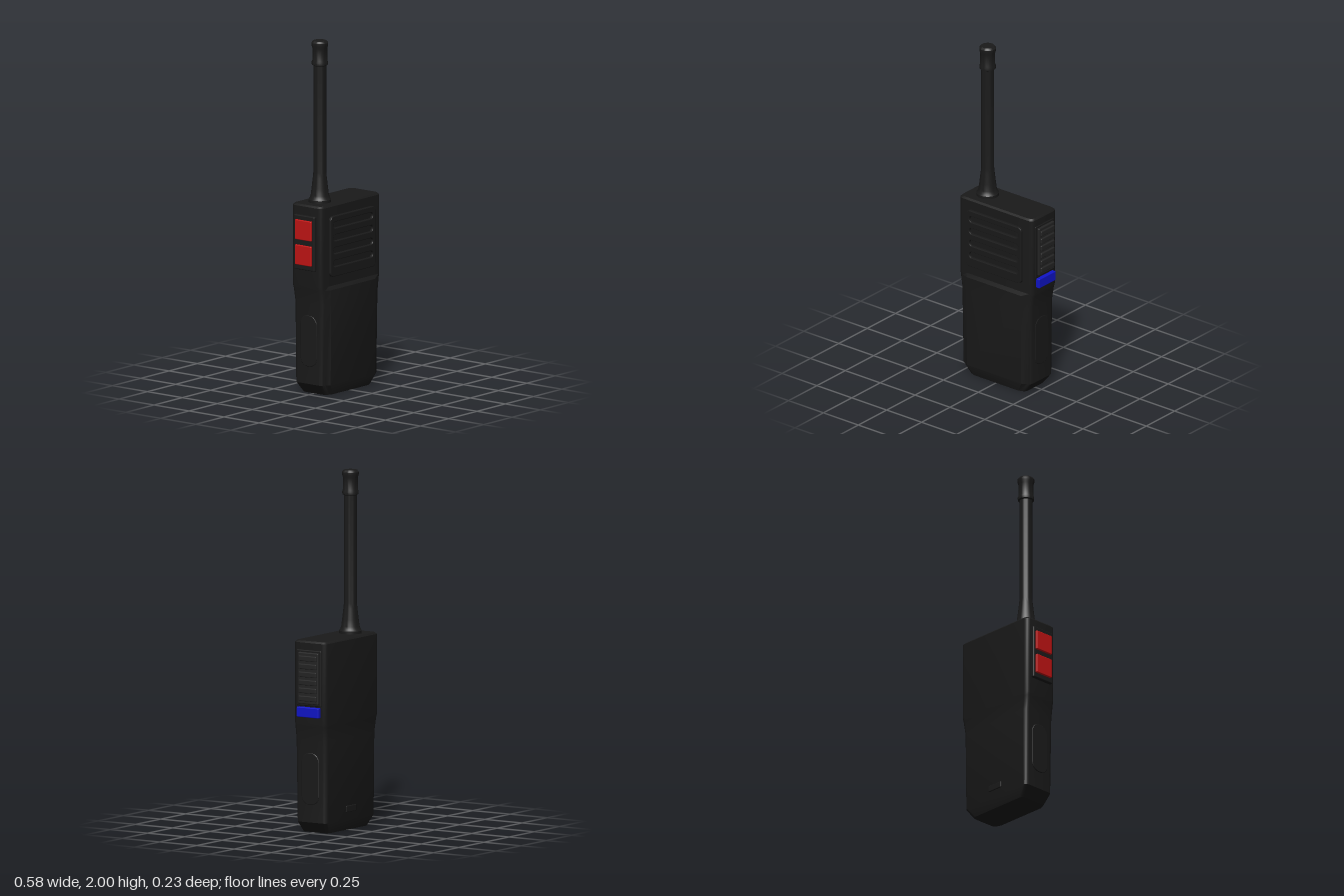
import * as THREE from 'three';
import { toCreasedNormals } from 'three/addons/utils/BufferGeometryUtils.js';
import { RoundedBoxGeometry } from 'three/addons/geometries/RoundedBoxGeometry.js';

const material = (color) => new THREE.MeshStandardMaterial({ color });
const black = material(0x1a1a1a);
const grip = material(0x242424);
const red = material(0xc01414);
const blue = material(0x1014c8);

function add(group, name, geometry, mat, x = 0, y = 0, z = 0) {
  const mesh = new THREE.Mesh(geometry, mat);
  mesh.name = name;
  mesh.position.set(x, y, z);
  group.add(mesh);
  return mesh;
}

// Cross-section with a bevelled front and rounded side corners
function outline([y, hw, fx, zf, zs, zb]) {
  const r = 0.025, half = [[fx, zf]];
  for (let i = 0; i <= 4; i++) {
    const a = (i / 4) * Math.PI / 2;
    half.push([hw - r + r * Math.sin(a), zs - r + r * Math.cos(a)]);
  }
  for (let i = 0; i <= 4; i++) {
    const a = (i / 4) * Math.PI / 2;
    half.push([hw - r + r * Math.cos(a), zb + r - r * Math.sin(a)]);
  }
  const mirrored = half.map(([x, z]) => [-x, z]).reverse();
  return [...half, ...mirrored].map(([x, z]) => [x, y, z]);
}

function loft(sections) {
  const rings = sections.map(outline);
  const n = rings[0].length, index = [];
  for (let k = 0; k < rings.length - 1; k++) {
    for (let i = 0; i < n; i++) {
      const j = (i + 1) % n, a = k * n, b = a + n;
      index.push(a + i, a + j, b + j, a + i, b + j, b + i);
    }
  }
  const top = (rings.length - 1) * n;
  for (let i = 1; i < n - 1; i++) {
    index.push(0, i + 1, i, top, top + i, top + i + 1);
  }
  const g = new THREE.BufferGeometry();
  g.setAttribute('position', new THREE.Float32BufferAttribute(rings.flat(2), 3));
  g.setIndex(index);
  return toCreasedNormals(g, 0.5);
}

// Rounded rectangle, drawn into a Shape or a Path
function roundRect(path, w, h, r, cy = 0) {
  const x = w / 2 - r, y = h / 2 - r;
  path.absarc(x, cy + y, r, 0, Math.PI / 2);
  path.absarc(-x, cy + y, r, Math.PI / 2, Math.PI);
  path.absarc(-x, cy - y, r, Math.PI, Math.PI * 1.5);
  path.absarc(x, cy - y, r, Math.PI * 1.5, Math.PI * 2);
  path.closePath();
  return path;
}

export function createModel() {
  const model = new THREE.Group();
  model.name = 'handheldRadio';

  // Body: narrow battery section below, wider head above
  add(model, 'body', loft([
    [0, 0.2, 0.16, 0.093, 0.085, -0.09],
    [0.06, 0.245, 0.195, 0.112, 0.095, -0.107],
    [0.52, 0.249, 0.195, 0.113, 0.1, -0.109],
    [0.6, 0.26, 0.195, 0.113, 0.1, -0.113],
    [0.62, 0.264, 0.2, 0.101, 0.1, -0.116],
    [1.07, 0.264, 0.2, 0.101, 0.1, -0.116],
    [1.08, 0.255, 0.2, 0.092, 0.091, -0.107],
  ]), black);

  // Speaker panel with four slots
  const panel = roundRect(new THREE.Shape(), 0.394, 0.344, 0.025);
  for (let i = 0; i < 4; i++) {
    panel.holes.push(roundRect(new THREE.Path(), 0.35, 0.036, 0.017, 0.121 - i * 0.073));
  }
  const panelGeometry = new THREE.ExtrudeGeometry(panel, {
    depth: 0.016, bevelThickness: 0.004, bevelSize: 0.004, bevelOffset: -0.004, bevelSegments: 2, curveSegments: 6,
  });
  add(model, 'speakerGrille', panelGeometry, black, 0, 0.845, 0.096);

  // Antenna with flared base and ringed cap
  const profile = [
    [0, 1.07], [0.063, 1.07], [0.063, 1.095], [0.056, 1.105], [0.051, 1.12], [0.046, 1.16],
    [0.039, 1.22], [0.036, 1.25], [0.036, 1.855], [0.045, 1.86], [0.046, 1.875], [0.042, 1.885],
    [0.042, 1.955], [0.047, 1.97], [0.047, 1.985], [0.038, 1.996], [0, 2],
  ].map(([r, y]) => new THREE.Vector2(r, y));
  add(model, 'antenna', toCreasedNormals(new THREE.LatheGeometry(profile, 32), 0.6), black, -0.143, 0, -0.008);

  // Red keys on their backing plate
  add(model, 'keyPlate', new RoundedBoxGeometry(0.036, 0.31, 0.147, 2, 0.006), black, -0.264, 0.867, -0.009);
  for (const y of [0.94, 0.797]) {
    add(model, 'redKey', new RoundedBoxGeometry(0.024, 0.113, 0.117, 2, 0.005), red, -0.281, y, -0.009);
  }

  // Ribbed side grip and blue key
  add(model, 'gripFrame', new RoundedBoxGeometry(0.016, 0.315, 0.165, 2, 0.006), black, 0.26, 0.873, -0.006);
  add(model, 'gripPad', new RoundedBoxGeometry(0.03, 0.29, 0.136, 2, 0.006), grip, 0.266, 0.873, -0.009);
  for (let i = 0; i < 6; i++) {
    add(model, 'gripRib', new RoundedBoxGeometry(0.02, 0.03, 0.116, 2, 0.005), grip, 0.281, 0.985 - i * 0.045, -0.009);
  }
  add(model, 'blueKey', new RoundedBoxGeometry(0.04, 0.057, 0.147, 2, 0.005), blue, 0.266, 0.682, -0.009);

  // Oval finger pads on both sides of the battery
  const pad = roundRect(new THREE.Shape(), 0.115, 0.29, 0.05);
  const padGeometry = new THREE.ExtrudeGeometry(pad, {
    depth: 0.004, bevelThickness: 0.002, bevelSize: 0.003, bevelOffset: -0.003, bevelSegments: 1,
  });
  for (const side of [-1, 1]) {
    const mesh = add(model, 'fingerPad', padGeometry, black, side * 0.244, 0.305, -0.003);
    mesh.rotation.y = side * Math.PI / 2;
  }

  // Battery latch on the back
  add(model, 'batteryLatch', new RoundedBoxGeometry(0.1, 0.036, 0.012, 2, 0.004), black, 0, 0.12, -0.106);

  return model;
}
